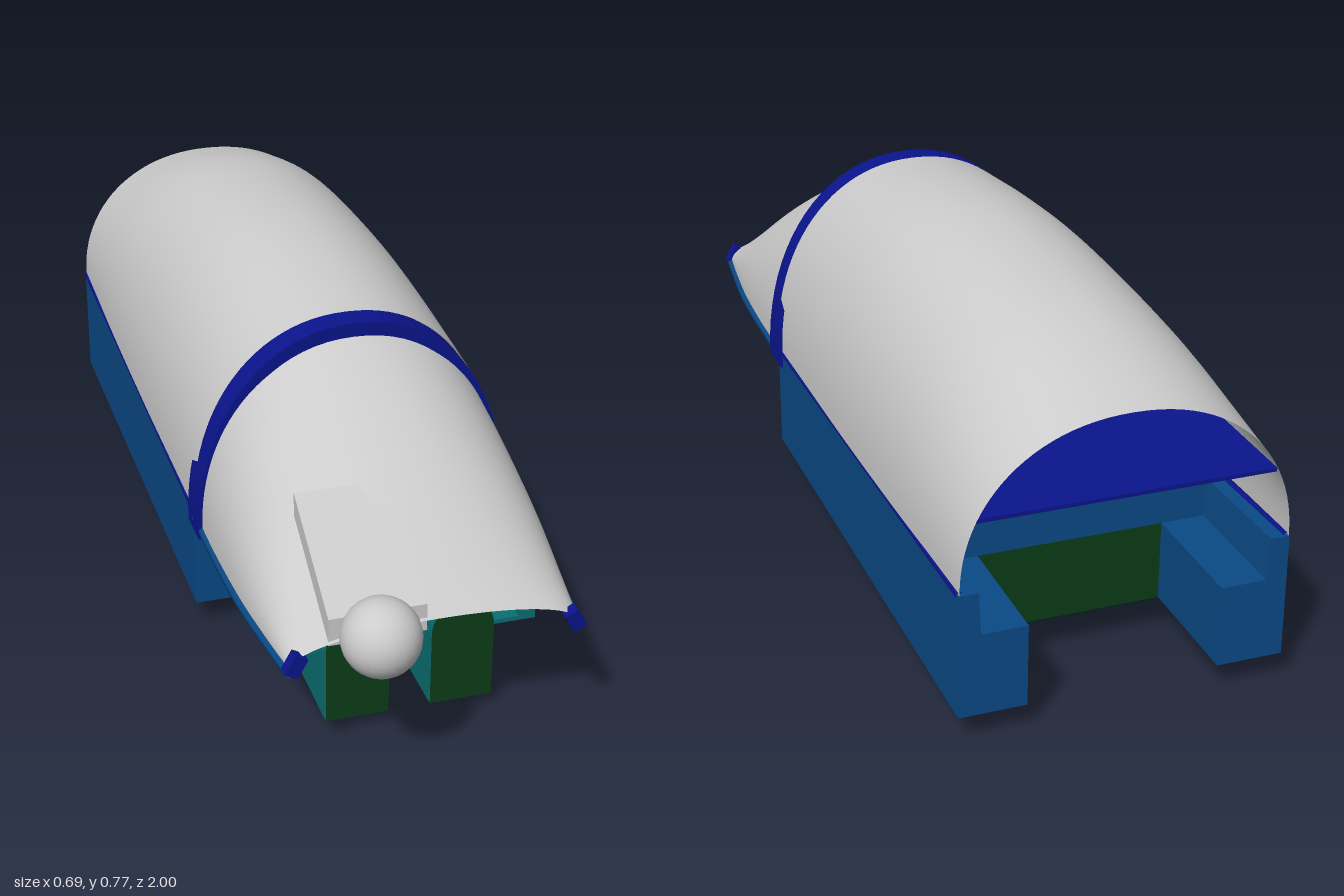
import * as THREE from 'three';

const mat = (color) => new THREE.MeshStandardMaterial({ color, side: THREE.DoubleSide });

// Closed-form arch: half-width w, from base height to top, angle 0..PI
function archPoint(t, w, base, top, n = 2.15) {
  const c = Math.cos(t), s = Math.sin(t);
  return [Math.sign(c) * w * Math.abs(c) ** (2 / n), base + (top - base) * Math.abs(s) ** (2 / n)];
}

// Skin lofted through arched sections [z, halfWidth, base, top], smoothed along z
function loft(sections, rows = 32, cols = 48) {
  const a = new THREE.CatmullRomCurve3(sections.map((s) => new THREE.Vector3(s[0], s[1], s[3])));
  const b = new THREE.CatmullRomCurve3(sections.map((s) => new THREE.Vector3(s[0], s[2], 0)));
  const pos = [], idx = [];
  for (let i = 0; i <= rows; i++) {
    const p = a.getPoint(i / rows), q = b.getPoint(i / rows);
    for (let j = 0; j <= cols; j++) {
      const [x, y] = archPoint(Math.PI * j / cols, p.y, q.y, p.z);
      pos.push(x, y, p.x);
      if (i < rows && j < cols) {
        const k = i * (cols + 1) + j, m = k + cols + 1;
        idx.push(k, k + 1, m, k + 1, m + 1, m);
      }
    }
  }
  const g = new THREE.BufferGeometry();
  g.setAttribute('position', new THREE.Float32BufferAttribute(pos, 3));
  g.setIndex(idx);
  g.computeVertexNormals();
  return g;
}

function extrude(points, z0, z1) {
  const shape = new THREE.Shape(points.map(([x, y]) => new THREE.Vector2(x, y)));
  return new THREE.ExtrudeGeometry(shape, { depth: z1 - z0, bevelEnabled: false }).translate(0, 0, z0);
}

export function createModel() {
  const model = new THREE.Group();
  const grey = mat(0xcccccc), navy = mat(0x0a148c), blue = mat(0x0a4a86);
  const teal = mat(0x0b6f72), green = mat(0x0c3d18), dark = mat(0x06201f);
  const add = (name, geometry, material) => {
    const m = new THREE.Mesh(geometry, material);
    m.name = name;
    model.add(m);
    return m;
  };
  const box = (name, x0, x1, y0, y1, z0, z1, material) => add(name,
    new THREE.BoxGeometry(x1 - x0, y1 - y0, z1 - z0)
      .translate((x0 + x1) / 2, (y0 + y1) / 2, (z0 + z1) / 2), material);

  // Curved skins
  add('canopy', loft([
    [0.25, 0.34, 0.295, 0.73], [0, 0.341, 0.3, 0.757], [-0.22, 0.342, 0.305, 0.767],
    [-0.5, 0.342, 0.31, 0.752], [-0.72, 0.341, 0.317, 0.722], [-1, 0.338, 0.325, 0.645],
  ]), grey);
  add('noseCowl', loft([
    [0.25, 0.336, 0.285, 0.715], [0.42, 0.335, 0.285, 0.645], [0.6, 0.328, 0.285, 0.55],
    [0.74, 0.315, 0.285, 0.45], [0.865, 0.3, 0.285, 0.35],
  ]), grey);

  // Hoop between the skins, widening toward its feet
  const hoop = [];
  for (let i = 0; i <= 40; i++) hoop.push(archPoint(Math.PI * i / 40, 0.345, 0.262, 0.729));
  for (let i = 40; i >= 0; i--) hoop.push(archPoint(Math.PI * i / 40, 0.331, 0.262, 0.698));
  const hoopGeo = extrude(hoop, 0.245, 0.308), hp = hoopGeo.attributes.position;
  for (let i = 0; i < hp.count; i++) {
    if (hp.getZ(i) < 0.28) hp.setZ(i, 0.212 + 0.035 * THREE.MathUtils.smoothstep(hp.getY(i), 0.45, 0.72));
  }
  hoopGeo.computeVertexNormals();
  add('hoop', hoopGeo, navy);

  // Nose ball and the wedge leading to it
  add('noseBall', new THREE.SphereGeometry(0.08, 24, 16).translate(-0.132, 0.367, 0.917), grey);
  const wedge = extrude([[-0.62, 0.53], [-0.62, 0.45], [-0.86, 0.325], [-0.86, 0.385]], 0, 0.2);
  wedge.rotateY(Math.PI / 2).translate(-0.22, 0, 0);
  add('noseWedge', wedge, grey);

  for (const s of [1, -1]) {
    // Stepped side pontoon with a sill rising to the rear
    const pontoon = extrude([[0.2, 0.06], [0.34, 0.06], [0.34, 0.295], [0.3, 0.295],
      [0.295, 0.235], [0.2, 0.235]].map(([x, y]) => [s * x, y]), -1, 0.245);
    const p = pontoon.attributes.position;
    for (let i = 0; i < p.count; i++) {
      if (p.getY(i) > 0.28 && p.getZ(i) < 0) p.setY(i, 0.325);
    }
    add('sidePontoon', pontoon, blue);
    add('sill', new THREE.TubeGeometry(new THREE.LineCurve3(
      new THREE.Vector3(s * 0.336, 0.295, 0.24), new THREE.Vector3(s * 0.336, 0.322, -0.995)), 1, 0.008, 6), navy);

    // Nose edge trim, tip and rail
    add('noseTrim', new THREE.TubeGeometry(new THREE.CatmullRomCurve3([
      new THREE.Vector3(s * 0.336, 0.28, 0.25), new THREE.Vector3(s * 0.328, 0.28, 0.6),
      new THREE.Vector3(s * 0.3, 0.28, 0.865)]), 12, 0.01, 6), blue);
    const tip = add('noseTip', new THREE.BoxGeometry(0.03, 0.045, 0.025), navy);
    tip.position.set(s * 0.288, 0.298, 0.863);
    tip.rotation.z = s * 0.5;
    const xr = s * 0.2525;
    box('noseRail', xr - 0.018, xr + 0.018, 0.205, 0.29, 0.245, 0.71, teal);

    // Arched front well: curved walls, closed front, open underneath
    const c = s * 0.1125, r = 0.0675, arch = [[c + r, 0.035]];
    for (let i = 0; i <= 20; i++) {
      const [x, y] = archPoint(Math.PI * i / 20, r, 0.205, 0.27);
      arch.push([c + x, y]);
    }
    arch.push([c - r, 0.035]);
    const face = new THREE.Shape(arch.map(([x, y]) => new THREE.Vector2(x, y)));
    add('wellFront', new THREE.ShapeGeometry(face).translate(0, 0, 0.712), green);
    const inner = arch.map(([x, y]) => [c + (x - c) * 0.95, y > 0.1 ? y - 0.004 : y]).reverse();
    add('wellWall', extrude([...arch, ...inner], 0.245, 0.71), teal);
    box('wellFlange', Math.min(s * 0.18, s * 0.235), Math.max(s * 0.18, s * 0.235), 0.205, 0.215, 0.245, 0.71, teal);

    // Tilted flap under the well
    const flap = add('flap', new THREE.BoxGeometry(0.128, 0.006, 0.075), dark);
    flap.position.set(c, 0.0195, 0.475);
    flap.rotation.x = -0.42;
  }

  // Central body
  box('wellBridge', -0.046, 0.046, 0.2, 0.21, 0.245, 0.7, teal);
  box('floor', -0.2, 0.2, 0.052, 0.062, -0.72, 0.245, dark);
  box('crossStrip', -0.26, 0.26, 0.036, 0.06, 0.165, 0.18, teal);
  box('frontBulkhead', -0.3, 0.3, 0.2, 0.475, 0.235, 0.245, navy);
  box('frontLowerBulkhead', -0.2, 0.2, 0.055, 0.2, 0.235, 0.245, teal);
  box('rearLowerBulkhead', -0.2, 0.2, 0.06, 0.235, -0.725, -0.715, green);
  box('rearBulkhead', -0.3, 0.3, 0.235, 0.47, -0.725, -0.715, blue);
  box('deck', -0.305, 0.305, 0.468, 0.476, -0.995, 0.24, navy);

  const bounds = new THREE.Box3().setFromObject(model);
  model.position.y = -bounds.min.y;
  return model;
}
